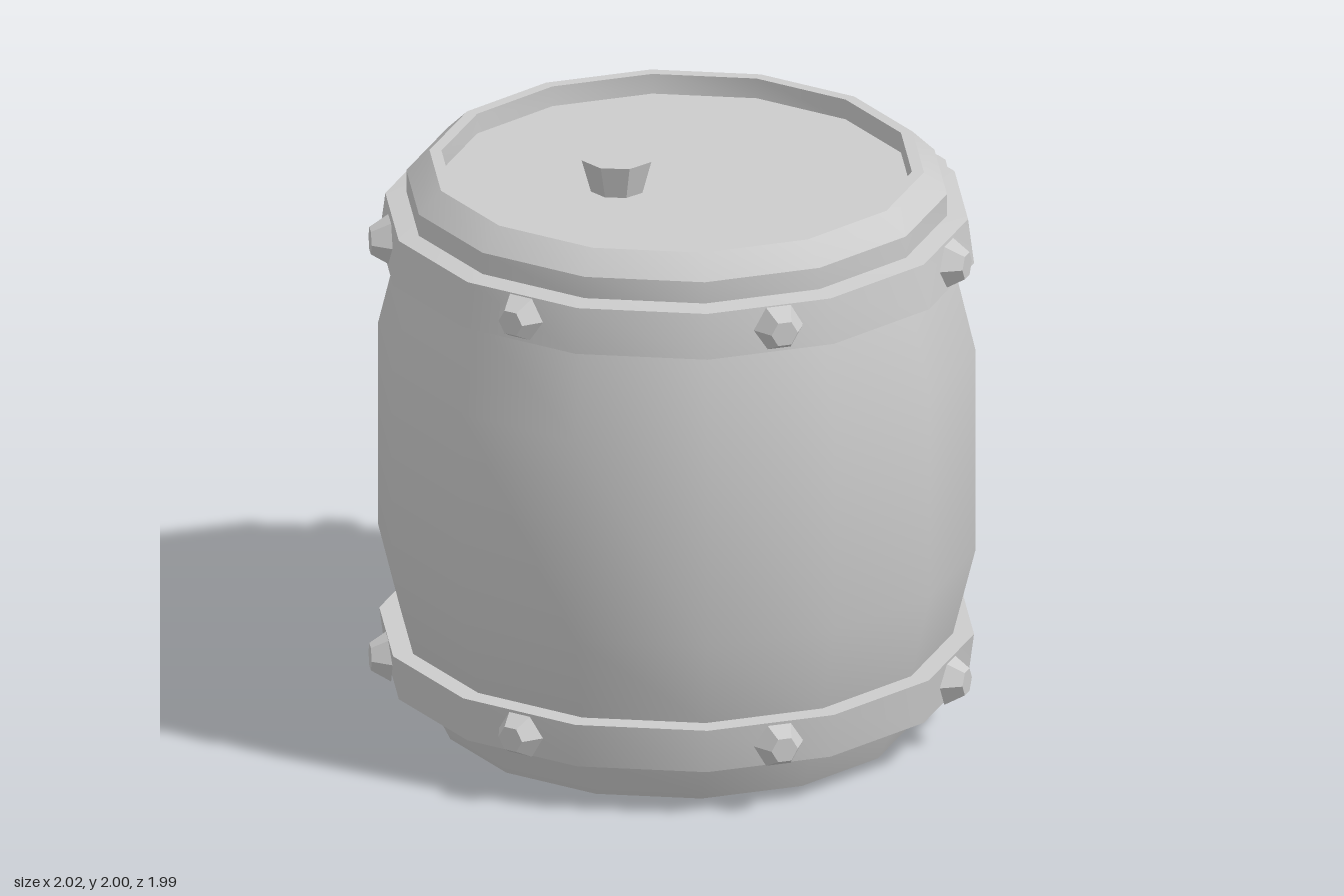
import * as THREE from 'three';
import { toCreasedNormals } from 'three/addons/utils/BufferGeometryUtils.js';

const SIDES = 14;
const material = new THREE.MeshStandardMaterial({ color: 0xcccccc });

function part(name, geometry) {
  const mesh = new THREE.Mesh(toCreasedNormals(geometry, Math.PI / 6), material);
  mesh.name = name;
  return mesh;
}

// Turned part with a corner on the x axis; profile is [radius, height]
function turned(name, profile) {
  const points = profile.map(([r, y]) => new THREE.Vector2(r, y));
  return part(name, new THREE.LatheGeometry(points, SIDES, Math.PI / 2));
}

// Six-sided tapered bolt head pointing outwards along +z
function bolt(name, angle, y, offset) {
  const geometry = new THREE.CylinderGeometry(0.046, 0.086, 0.065, 6);
  geometry.rotateY(Math.PI / 6);
  geometry.rotateX(Math.PI / 2);
  geometry.translate(offset, 0, 0.988);
  const mesh = part(name, geometry);
  mesh.rotation.y = angle;
  mesh.position.y = y;
  return mesh;
}

export function createModel() {
  const model = new THREE.Group();
  model.name = 'barrel';

  // Bulging body with a closed base
  model.add(turned('body', [
    [0, 0], [0.79, 0], [0.87, 0.16], [0.92, 0.32], [0.995, 0.62],
    [0.995, 1.33], [0.92, 1.64], [0.88, 1.8],
  ]));

  // Hoops, flaring towards the middle of the barrel
  model.add(turned('lowerHoop', [
    [0.85, 0.155], [0.97, 0.165], [0.99, 0.32], [0.9, 0.32], [0.85, 0.155],
  ]));
  model.add(turned('upperHoop', [
    [0.9, 1.64], [0.99, 1.64], [0.97, 1.795], [0.86, 1.81], [0.9, 1.64],
  ]));

  // Lid with a bevelled rim and a sunken top
  model.add(turned('lid', [
    [0.9, 1.79], [0.9, 1.88], [0.823, 1.955], [0.783, 1.955],
    [0.783, 1.885], [0, 1.885],
  ]));

  // Off-centre stopper
  const stopper = part('stopper', new THREE.CylinderGeometry(0.125, 0.088, 0.13, 8));
  stopper.position.set(-0.207, 1.935, 0);
  model.add(stopper);

  // Bolts around both hoops; the front one sits slightly to the side
  const angles = [0, 51.4, 102, 152, -51.4, -102, -152];
  for (const [row, y] of [['lower', 0.24], ['upper', 1.72]]) {
    for (const a of angles) {
      model.add(bolt(`${row}Bolt`, THREE.MathUtils.degToRad(a), y, a === 0 ? 0.03 : 0));
    }
  }

  // Balance the front bolt's overhang
  model.children.forEach((child) => { child.position.z -= 0.025; });
  return model;
}
